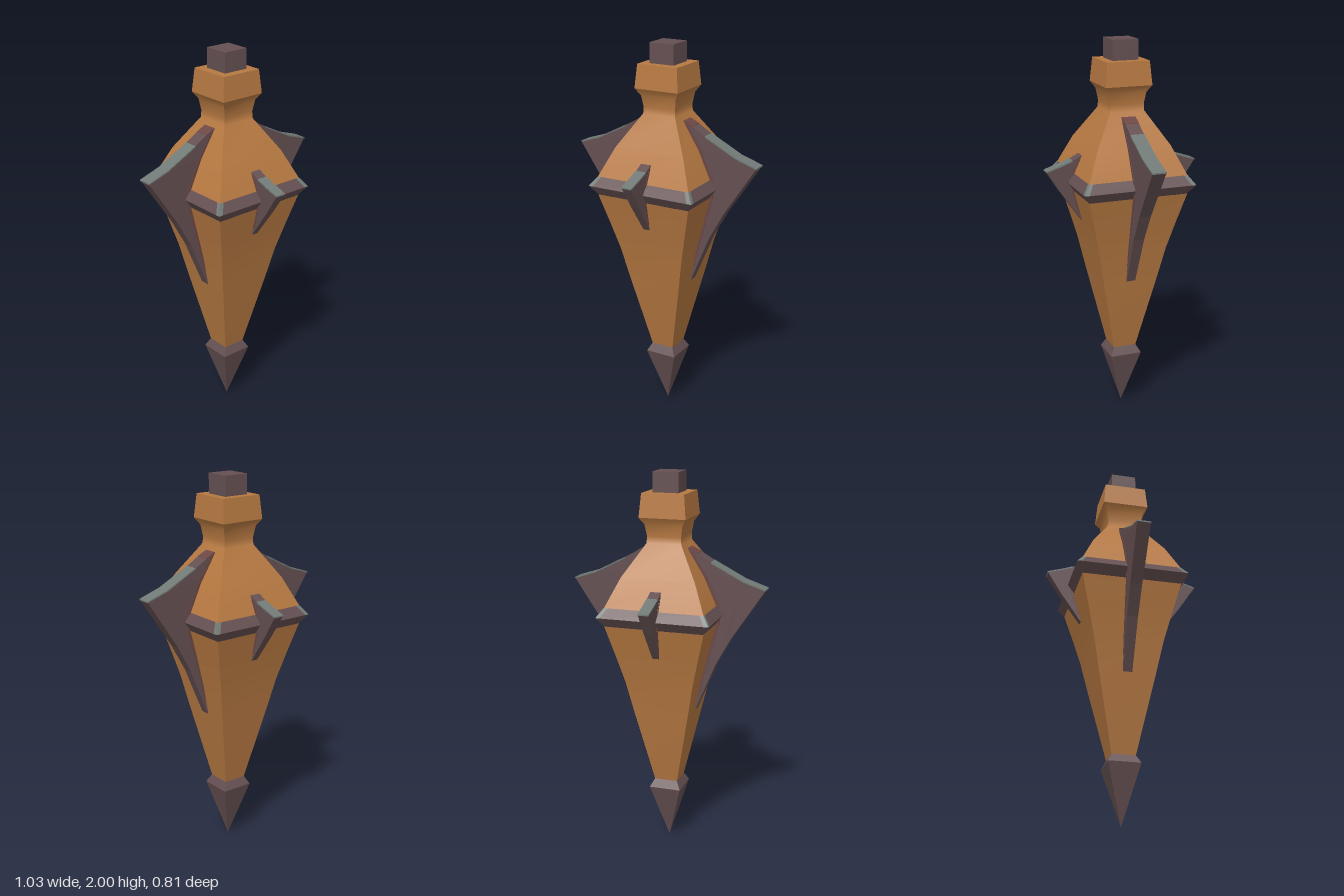
import * as THREE from 'three';
import { mergeGeometries } from 'three/addons/utils/BufferGeometryUtils.js';

const paint = (name, color) => {
  const m = new THREE.MeshStandardMaterial({ color });
  m.name = name;
  return m;
};

// Four-sided wall from [halfWidth, y] points: smooth along the height, sharp at the corners.
// u0..u1 limits the wall to a stretch of each side (-1 to 1).
function squareWall(profile, u0 = -1, u1 = 1) {
  const sides = [];
  for (let s = 0; s < 4; s++) {
    const pos = [], index = [];
    profile.forEach(([h, y], i) => {
      pos.push(h * u0, y, h, h * u1, y, h);
      if (i) {
        const a = 2 * i - 2;
        index.push(a, a + 1, a + 3, a, a + 3, a + 2);
      }
    });
    const g = new THREE.BufferGeometry();
    g.setAttribute('position', new THREE.Float32BufferAttribute(pos, 3));
    g.setIndex(index);
    g.computeVertexNormals();
    g.rotateY(s * Math.PI / 2);
    sides.push(g);
  }
  return mergeGeometries(sides);
}

// Flat plate from an outline, its half thickness tapering from yTop down to yLow
function taperedPlate(points, spec, extra = 0) {
  const shape = new THREE.Shape(points.map(([x, y]) => new THREE.Vector2(x, y)));
  const g = new THREE.ExtrudeGeometry(shape, { depth: 2, bevelEnabled: false });
  const p = g.attributes.position;
  for (let i = 0; i < p.count; i++) {
    const t = THREE.MathUtils.clamp((p.getY(i) - spec.yLow) / (spec.yTop - spec.yLow), 0, 1);
    const half = THREE.MathUtils.lerp(spec.thinLow, spec.thinTop, t) + extra;
    p.setZ(i, (p.getZ(i) - 1) * half);
  }
  g.computeVertexNormals();
  return g;
}

// Thin slab lying on a line of points
const slab = (line, t = 0.005) =>
  [...line.map(([x, y]) => [x, y - t]), ...line.map(([x, y]) => [x, y + 0.002]).reverse()];

export function createModel() {
  const model = new THREE.Group();
  model.name = 'bottle';
  const amber = paint('amber brown', 0xb87a42);
  const iron = paint('dark iron', 0x655052);
  const worn = paint('worn grey edge', 0x717a76);
  const rust = paint('rust', 0x6e4743);

  const add = (parent, name, geometry, material) => {
    const mesh = new THREE.Mesh(geometry, material);
    mesh.name = name;
    parent.add(mesh);
    return mesh;
  };

  // Body and neck
  const lower = [[0.062, 0.35], [0.148, 0.76], [0.182, 0.93], [0.22, 1.08], [0.262, 1.238]];
  const shoulder = [[0.262, 1.332], [0.195, 1.48], [0.092, 1.645]];
  add(model, 'lowerBody', squareWall(lower), amber);
  add(model, 'shoulderAndNeck', squareWall([...shoulder, [0.09, 1.68], [0.1, 1.74], [0.123, 1.775]]), amber);
  add(model, 'collar', squareWall([[0.123, 1.775], [0.112, 1.897]]), amber);
  add(model, 'collarTop', new THREE.PlaneGeometry(0.224, 0.224).rotateX(-Math.PI / 2), amber).position.y = 1.897;

  // Stopper
  add(model, 'stopper', new THREE.BoxGeometry(0.136, 0.14, 0.136), iron).position.y = 1.93;

  // Metal rim with worn corners
  const rimTop = [[0.296, 1.287], [0.262, 1.334]];
  add(model, 'rimUnderside', squareWall([[0.26, 1.238], [0.296, 1.287]]), iron);
  add(model, 'rimTop', squareWall(rimTop, -0.92, 0.92), iron);
  add(model, 'rimCornerLeft', squareWall(rimTop, 0.92, 1), worn);
  add(model, 'rimCornerRight', squareWall(rimTop, -1, -0.92), worn);

  // Pointed foot
  add(model, 'footPoint', squareWall([[0, 0], [0.085, 0.308]]), iron);
  add(model, 'footCollar', squareWall([[0.085, 0.308], [0.062, 0.352]]), iron);

  const wideFin = {
    name: 'wideFin', yLow: 0.76, yTop: 1.43, thinLow: 0.024, thinTop: 0.036,
    top: [[0.11, 1.62], [0.16, 1.596], [0.23, 1.555], [0.4, 1.468], [0.515, 1.43]],
    under: [[0.34, 1.165], [0.26, 1.02], [0.152, 0.76]],
    inside: [[0.08, 0.85], [0.06, 1.5]],
    rustTop: 2, rustLine: [[0.172, 0.85], [0.197, 0.95], [0.236, 1.09], [0.278, 1.238],
      [0.278, 1.332], [0.212, 1.48], [0.134, 1.6]],
  };
  const smallFin = {
    name: 'smallFin', yLow: 1.08, yTop: 1.37, thinLow: 0.018, thinTop: 0.028,
    top: [[0.222, 1.425], [0.27, 1.4], [0.33, 1.378], [0.407, 1.353]],
    under: [[0.335, 1.24], [0.222, 1.08]],
    inside: [[0.14, 1.1], [0.14, 1.4]],
    rustTop: 0, rustLine: [[0.238, 1.12], [0.274, 1.238], [0.274, 1.332], [0.242, 1.405]],
  };

  // Fins: dark plate, worn outer top edge, rust where it meets the body
  const addFin = (spec, angle) => {
    const fin = new THREE.Group();
    fin.name = spec.name;
    fin.rotation.y = angle;
    add(fin, 'finPlate', taperedPlate([...spec.top, ...spec.under, ...spec.inside], spec), iron);
    const outer = spec.top.slice(spec.rustTop ? 2 : 1);
    add(fin, 'finWornEdge', taperedPlate(slab(outer), spec, 0.001), worn);
    if (spec.rustTop) {
      add(fin, 'finRustEdge', taperedPlate(slab(spec.top.slice(0, spec.rustTop)), spec, 0.001), rust);
    }
    const inner = spec.rustLine.map(([x, y]) => [x - 0.06, y]).reverse();
    add(fin, 'finRustSeam', taperedPlate([...spec.rustLine, ...inner], spec, 0.0015), rust);
    model.add(fin);
  };
  for (const side of [0, Math.PI]) {
    addFin(wideFin, side);
    addFin(smallFin, side + Math.PI / 2);
  }
  return model;
}
